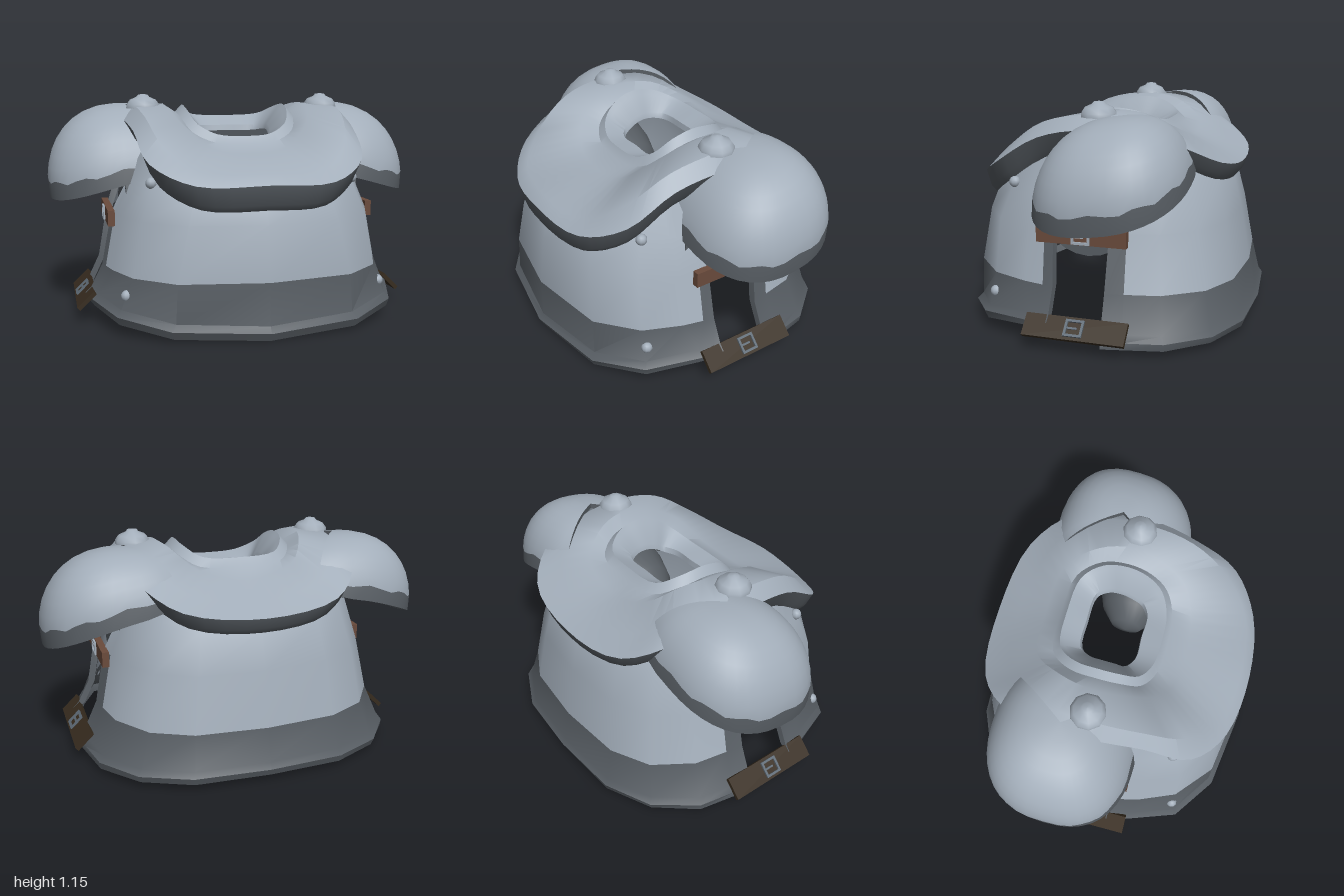
import * as THREE from 'three';
import { toCreasedNormals } from 'three/addons/utils/BufferGeometryUtils.js';

const mat = (name, color) => Object.assign(new THREE.MeshStandardMaterial({ color }), { name });
const steel = mat('light steel', 0xa2adb9);
const dark = mat('dark steel', 0x575d63);
const brown = mat('brown leather', 0x6a4b3c);
const darkLeather = mat('dark leather', 0x372c1f);
const darkBuckle = mat('dark buckle', 0x5f6b76);

// Thick shell over a grid of points. inner(p) gives the inside point,
// isDark(i, j) tells which cells belong to the dark border.
function shell(name, rows, inner, isDark, closed = false, crease = 0.7) {
  const lists = [[], []];
  const tri = (list, a, b, c) => {
    const n = b.clone().sub(a).cross(c.clone().sub(a));
    if (n.length() > 1e-9) for (const p of [a, b, c]) list.push(p.x, p.y, p.z);
  };
  const quad = (list, a, b, c, d) => { tri(list, a, b, c); tri(list, a, c, d); };
  const ins = rows.map(r => r.map(inner));
  const ni = rows.length - 1, nj = rows[0].length - 1;
  for (let i = 0; i < ni; i++) for (let j = 0; j < nj; j++) {
    const list = lists[isDark(i, j) ? 1 : 0];
    quad(list, rows[i][j], rows[i][j + 1], rows[i + 1][j + 1], rows[i + 1][j]);
    quad(list, ins[i][j], ins[i + 1][j], ins[i + 1][j + 1], ins[i][j + 1]);
  }
  for (let j = 0; j < nj; j++) {
    quad(lists[1], rows[0][j + 1], rows[0][j], ins[0][j], ins[0][j + 1]);
    quad(lists[0], rows[ni][j], rows[ni][j + 1], ins[ni][j + 1], ins[ni][j]);
  }
  if (!closed) for (let i = 0; i < ni; i++) {
    quad(lists[1], rows[i][0], rows[i + 1][0], ins[i + 1][0], ins[i][0]);
    quad(lists[1], rows[i + 1][nj], rows[i][nj], ins[i][nj], ins[i + 1][nj]);
  }
  const g = new THREE.BufferGeometry();
  g.setAttribute('position', new THREE.Float32BufferAttribute(lists.flat(), 3));
  g.addGroup(0, lists[0].length / 3, 0);
  g.addGroup(lists[0].length / 3, lists[1].length / 3, 1);
  const mesh = new THREE.Mesh(toCreasedNormals(g, crease), [steel, dark]);
  mesh.name = name;
  return mesh;
}

const V = (x, y, z) => new THREE.Vector3(x, y, z);

// Body plate from half sections (centre to side), mirrored; dir 1 front, -1 back
function bodyPlate(name, halves, dir) {
  const rows = halves.map(h => {
    const pts = h.map(p => V(...p));
    pts.splice(4, 0, pts[3].clone().lerp(pts[4], 0.65));
    const mirrored = pts.slice(1).reverse().map(p => V(-p.x, p.y, p.z));
    const row = [...mirrored, ...pts];
    return dir > 0 ? row : row.reverse();
  });
  const inner = p => {
    const k = 1 - 0.035 / Math.hypot(p.x, p.z);
    return V(p.x * k, p.y, p.z * k);
  };
  return shell(name, rows, inner, (i, j) => i < 3 || (i < 4 && (j === 0 || j === 9)));
}

// Points on a closed smooth ring from its half outline (front centre to back centre)
function ring(half) {
  const other = half.slice(1, -1).reverse().map(p => V(-p.x, p.y, p.z));
  const curve = new THREE.CatmullRomCurve3([...half, ...other], true, 'centripetal');
  return Array.from({ length: 57 }, (_, j) => curve.getPoint((j % 56) / 56));
}

// Mantle over the shoulders, from the hanging edge up to the standing neck collar
function mantle() {
  const [edge, slope, base, lip, hole] = [
    [[0, 0.74, 0.71], [0.34, 0.74, 0.66], [0.535, 0.83, 0.51], [0.58, 0.97, 0.27], [0.61, 1.02, 0], [0.57, 0.97, -0.39], [0.39, 0.86, -0.6], [0, 0.815, -0.66]],
    [[0, 0.79, 0.66], [0.31, 0.8, 0.61], [0.46, 0.91, 0.46], [0.52, 1.04, 0.26], [0.54, 1.085, 0], [0.5, 1.05, -0.31], [0.34, 0.92, -0.48], [0, 0.87, -0.54]],
    [[0, 0.855, 0.36], [0.19, 0.88, 0.34], [0.31, 0.98, 0.27], [0.37, 1.06, 0.13], [0.39, 1.095, -0.02], [0.35, 1.08, -0.2], [0.24, 0.99, -0.36], [0, 0.93, -0.39]],
    [[0, 0.935, 0.225], [0.14, 0.945, 0.215], [0.235, 0.995, 0.165], [0.27, 1.06, 0.08], [0.28, 1.09, -0.03], [0.265, 1.075, -0.15], [0.19, 1.03, -0.25], [0, 1.02, -0.27]],
    [[0, 0.92, 0.12], [0.12, 0.92, 0.12], [0.18, 0.93, 0.08], [0.19, 0.96, 0.03], [0.195, 0.98, -0.03], [0.19, 0.98, -0.1], [0.15, 0.97, -0.16], [0, 0.97, -0.17]],
  ].map(half => half.map(p => V(...p)));
  // Hem hangs below the edge, groove runs around the collar, lip rounds the hole
  const hem = edge.map((p, k) => V(p.x * 0.94, p.y - 0.095 + 0.006 * k, p.z * 0.975));
  const groove = lip.map(p => V(p.x * 1.13, p.y - 0.04, p.z * 1.13));
  const rim = lip.map((p, k) => p.clone().lerp(hole[k], 0.22));
  const rows = [hem, edge, slope, base, groove, lip, rim, hole].map(ring);
  return shell('mantle', rows, p => V(p.x * 0.96, p.y - 0.03, p.z * 0.96), i => i === 0, true);
}

// Full, slightly squared dome with a wavy dark border
function shoulderPad(s) {
  const c = V(s * 0.58, 0.7, -0.13), rows = [], n = 28;
  const full = v => Math.sign(v) * Math.abs(v) ** 0.82;
  for (let i = 0; i <= 10; i++) {
    const row = [];
    for (let j = 0; j <= n; j++) {
      const phi = (j / n * 2 - 1) * 2.1;
      const low = -12 + 20 * (1 - Math.cos(phi));
      const f = i === 0 ? 0 : 0.13 + 0.87 * (i - 1) / 9;
      const wave = i === 1 ? 1.5 * Math.sin(j * 1.9) : 0;
      const lat = (low + (90 - low) * f + wave) * Math.PI / 180;
      const r = full(Math.cos(lat));
      const z = -s * full(Math.sin(phi)) * r * 0.375;
      row.push(V(c.x + s * 0.42 * r * full(Math.cos(phi)),
        c.y + 0.39 * Math.sin(lat) - 0.13 * z, c.z + z));
    }
    rows.push(row);
  }
  return shell('shoulderPad', rows, p => p.clone().sub(c).multiplyScalar(0.93).add(c), i => i === 0, false, 0.9);
}

// Strap with a square buckle, facing +x before it is turned
function strap(name, len, height, thick, frame, leather, metal) {
  const g = new THREE.Group();
  g.name = name;
  const add = (part, w, h, d, x, y, z, m) => {
    const b = new THREE.Mesh(new THREE.BoxGeometry(w, h, d), m);
    b.name = part;
    b.position.set(x, y, z);
    g.add(b);
  };
  const x = thick / 2;
  add('strapBand', thick, height, len, 0, 0, 0, leather);
  for (const k of [-1, 1]) {
    add('buckleSide', 0.02, frame, 0.012, x, 0, k * 0.04, metal);
    add('buckleBar', 0.02, 0.012, 0.092, x, k * (frame / 2 - 0.006), 0, metal);
  }
  add('bucklePin', 0.012, 0.01, 0.05, x, 0, 0.01, metal);
  return g;
}

export function createModel() {
  const model = new THREE.Group();
  model.name = 'chestArmour';

  model.add(bodyPlate('frontPlate', [
    [[0, 0, 0.735], [0.45, 0.02, 0.67], [0.69, 0.06, 0.51], [0.79, 0.09, 0.26], [0.82, 0.1, 0.14]],
    [[0, 0.04, 0.755], [0.46, 0.06, 0.685], [0.7, 0.1, 0.52], [0.8, 0.12, 0.25], [0.83, 0.13, 0.14]],
    [[0, 0.07, 0.73], [0.44, 0.09, 0.66], [0.68, 0.13, 0.5], [0.77, 0.15, 0.25], [0.8, 0.16, 0.14]],
    [[0, 0.28, 0.725], [0.43, 0.28, 0.655], [0.62, 0.28, 0.49], [0.7, 0.28, 0.3], [0.74, 0.28, 0.14]],
    [[0, 0.55, 0.69], [0.37, 0.55, 0.625], [0.57, 0.55, 0.48], [0.65, 0.55, 0.29], [0.69, 0.55, 0.15]],
    [[0, 0.68, 0.64], [0.33, 0.69, 0.58], [0.51, 0.72, 0.43], [0.57, 0.72, 0.3], [0.61, 0.72, 0.19]],
    [[0, 0.76, 0.56], [0.28, 0.77, 0.51], [0.43, 0.84, 0.4], [0.5, 0.88, 0.3], [0.53, 0.88, 0.22]],
  ], 1));

  model.add(bodyPlate('backPlate', [
    [[0, 0.035, -0.74], [0.38, 0.035, -0.72], [0.62, 0.035, -0.61], [0.78, 0.035, -0.42], [0.84, 0.035, -0.13]],
    [[0, 0.07, -0.755], [0.385, 0.07, -0.73], [0.63, 0.07, -0.62], [0.785, 0.07, -0.42], [0.84, 0.07, -0.13]],
    [[0, 0.1, -0.735], [0.375, 0.1, -0.71], [0.61, 0.1, -0.6], [0.76, 0.1, -0.41], [0.82, 0.1, -0.125]],
    [[0, 0.27, -0.7], [0.36, 0.27, -0.67], [0.56, 0.27, -0.57], [0.69, 0.27, -0.38], [0.74, 0.27, -0.12]],
    [[0, 0.55, -0.65], [0.33, 0.55, -0.62], [0.52, 0.55, -0.52], [0.63, 0.55, -0.36], [0.69, 0.55, -0.13]],
    [[0, 0.74, -0.6], [0.3, 0.75, -0.57], [0.46, 0.78, -0.47], [0.55, 0.78, -0.36], [0.6, 0.78, -0.2]],
    [[0, 0.8, -0.55], [0.28, 0.82, -0.52], [0.42, 0.87, -0.43], [0.5, 0.9, -0.33], [0.52, 0.9, -0.26]],
  ], -1));

  model.add(mantle());

  // Domed stud on each shoulder
  const studProfile = [[0.09, 0], [0.088, 0.02], [0.07, 0.045], [0.035, 0.06], [0.025, 0.072], [0, 0.075]]
    .map(p => new THREE.Vector2(...p));
  // Underarm cup: flat disc outside, dome inside
  const cupProfile = [[0, 0], [0.24, 0], [0.235, 0.1], [0.2, 0.27], [0.15, 0.4], [0.08, 0.48], [0, 0.5]]
    .map(p => new THREE.Vector2(...p));

  for (const s of [1, -1]) {
    model.add(shoulderPad(s));

    const stud = new THREE.Mesh(new THREE.LatheGeometry(studProfile, 10), steel);
    stud.name = 'shoulderStud';
    stud.position.set(s * 0.495, 1.073, -0.02);
    model.add(stud);

    const cup = new THREE.Mesh(toCreasedNormals(new THREE.LatheGeometry(cupProfile, 24), 0.7), dark);
    cup.name = 'underarmCup';
    cup.rotation.z = s * Math.PI / 2;
    cup.position.set(s * 0.62, 0.65, 0);
    model.add(cup);

    for (const [x, y, z] of [[0.65, 0.193, 0.48], [0.515, 0.73, 0.42]]) {
      const rivet = new THREE.Mesh(new THREE.SphereGeometry(0.029, 10, 8), steel);
      rivet.name = 'rivet';
      rivet.position.set(s * x, y, z);
      model.add(rivet);
    }

    // Side straps
    const turn = s > 0 ? 0 : Math.PI;
    const upper = strap('upperStrap', 0.45, 0.08, 0.035, 0.072, brown, steel);
    upper.position.set(s * 0.695, 0.53, 0.005);
    upper.rotation.y = turn;
    const lower = strap('lowerStrap', 0.505, 0.115, 0.022, 0.085, darkLeather, darkBuckle);
    lower.position.set(s * 0.83, 0.113, -0.002);
    lower.rotation.set(0, turn, 0.8 * s, 'ZYX');
    model.add(upper, lower);
  }
  return model;
}
